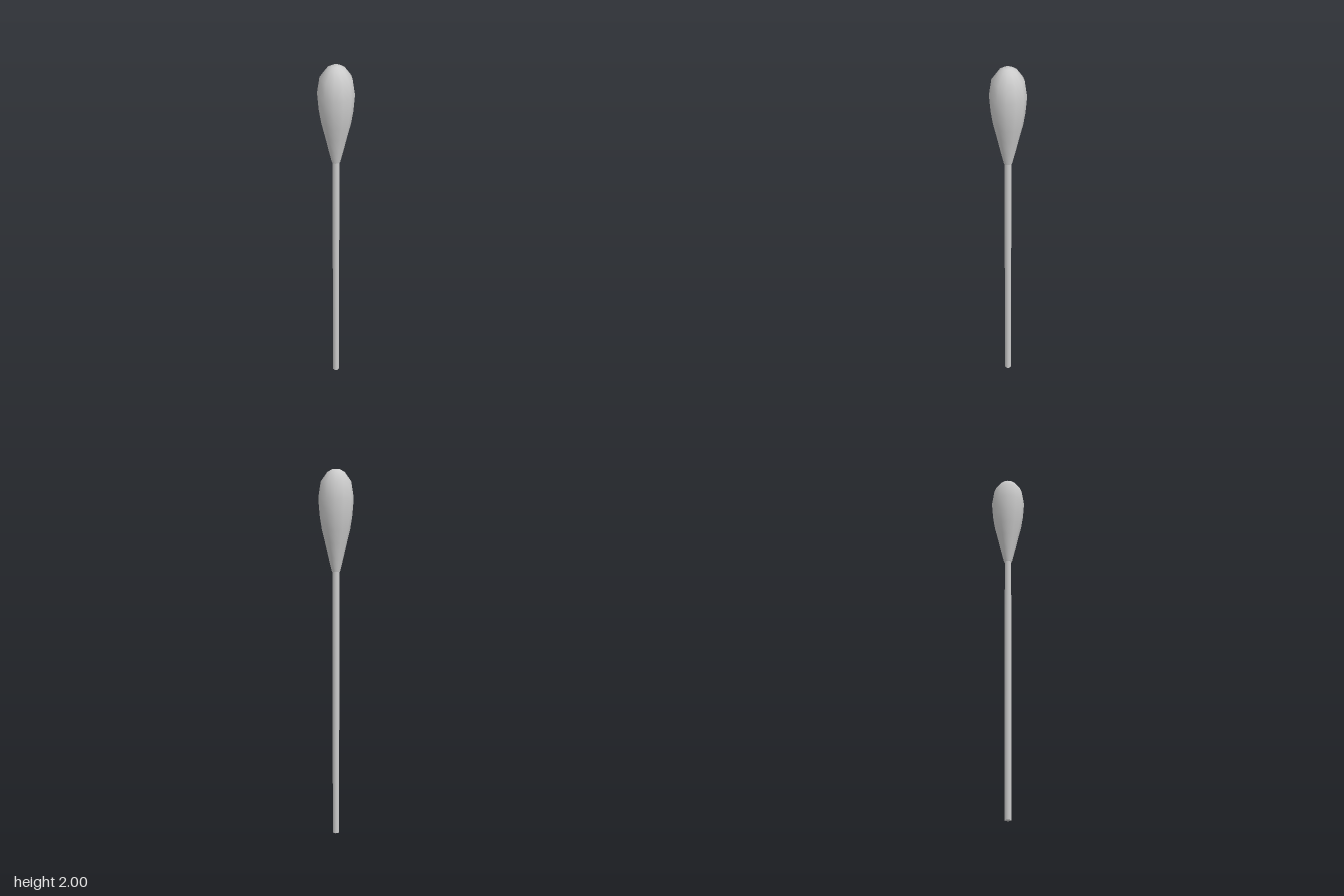
import * as THREE from 'three';

export function createModel() {
  const group = new THREE.Group();
  const material = new THREE.MeshStandardMaterial({ color: 0xcccccc });

  // Thin straight stick, its upper end hidden inside the head
  const stickHeight = 1.5;
  const stick = new THREE.Mesh(new THREE.CylinderGeometry(0.018, 0.018, stickHeight, 12), material);
  stick.name = 'stick';
  stick.position.y = stickHeight / 2;
  group.add(stick);

  // Teardrop head: tapered neck, full shoulder, domed top
  const profile = [
    [0.022, 1.465], [0.04, 1.54], [0.058, 1.62], [0.075, 1.69], [0.086, 1.76],
    [0.093, 1.85], [0.08, 1.935], [0.046, 1.983], [0.022, 1.997], [0, 2],
  ].map(([r, y]) => new THREE.Vector2(r, y));
  const head = new THREE.Mesh(new THREE.LatheGeometry(profile, 12), material);
  head.name = 'head';
  group.add(head);

  // Flat underside of the head around the stick
  const underside = new THREE.Mesh(new THREE.CircleGeometry(0.022, 12), material);
  underside.name = 'headUnderside';
  underside.rotation.x = Math.PI / 2;
  underside.position.y = 1.465;
  group.add(underside);

  return group;
}
